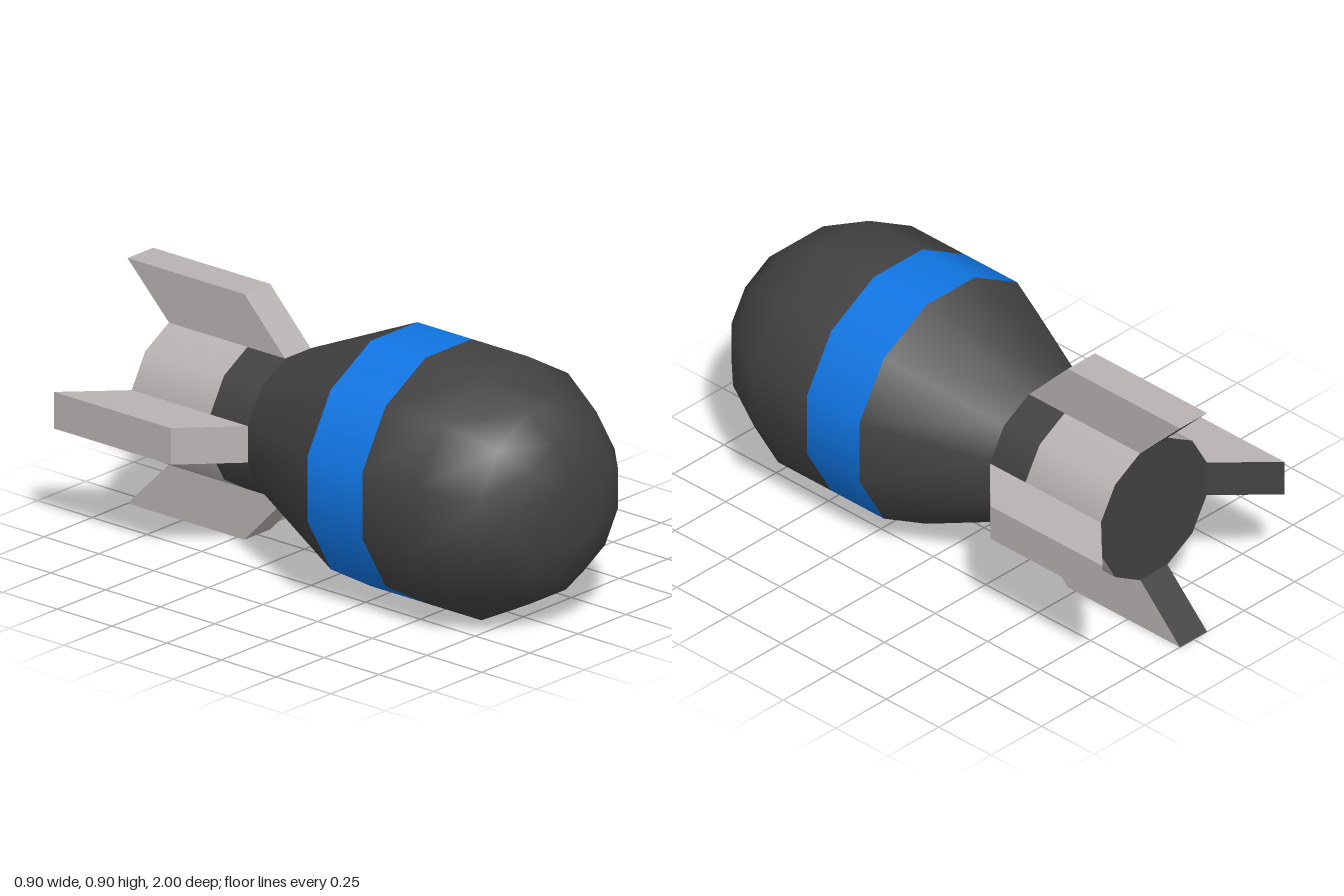
import * as THREE from 'three';

const SIDES = 12;
const STEP = Math.PI / SIDES;
const CORNER = 1 / Math.cos(STEP); // flat-to-flat radius to corner radius

export function createModel() {
  const paint = (name, color) => {
    const m = new THREE.MeshStandardMaterial({ color });
    m.name = name;
    return m;
  };
  const charcoal = paint('charcoal', 0x424242);
  const blue = paint('blue', 0x1076e4);
  const grey = paint('warmGrey', 0xb8b3b2);

  const model = new THREE.Group();
  model.name = 'bomb';
  const axis = new THREE.Group(); // everything is centred on the long axis
  axis.name = 'bombBody';
  axis.position.y = 0.45;
  model.add(axis);

  // Twelve-sided section along z from [flat radius, z] pairs, back to front
  const section = (name, material, profile) => {
    const points = profile.map(([r, z]) => new THREE.Vector2(r * CORNER, z));
    const geometry = new THREE.LatheGeometry(points, SIDES, STEP);
    geometry.rotateX(Math.PI / 2);
    const mesh = new THREE.Mesh(geometry, material);
    mesh.name = name;
    axis.add(mesh);
  };

  section('nose', charcoal, [[0.45, 0.41], [0.45, 0.665], [0.35, 0.86], [0.255, 0.96], [0.12, 1], [0, 1]]);
  section('stripe', blue, [[0.45, 0.16], [0.45, 0.41]]);
  section('taper', charcoal, [[0.26, -0.28], [0.45, 0.16]]);
  section('neck', charcoal, [[0.26, -0.45], [0.26, -0.28]]);
  section('tailTube', grey, [[0.26, -0.81], [0.26, -0.45]]);

  // Flat cap closing the tail
  const cap = new THREE.Mesh(new THREE.CircleGeometry(0.26 * CORNER, SIDES, STEP), charcoal);
  cap.name = 'tailCap';
  cap.rotation.y = Math.PI;
  cap.position.z = -0.81;
  axis.add(cap);

  // Swept fin with a dark trailing face; drawn as (z, radius)
  const thickness = 0.134;
  const outline = new THREE.Shape([[-0.28, 0.26], [-0.465, 0.45], [-1, 0.45], [-0.81, 0.26]]
    .map(([z, r]) => new THREE.Vector2(z, r)));
  const finGeometry = new THREE.ExtrudeGeometry(outline, { depth: thickness, bevelEnabled: false });
  const normals = finGeometry.attributes.normal;
  finGeometry.clearGroups();
  for (let i = 0; i < normals.count; i += 3) {
    finGeometry.addGroup(i, 3, normals.getX(i) < -0.5 ? 1 : 0);
  }
  finGeometry.translate(0, 0, -thickness / 2);
  finGeometry.rotateY(-Math.PI / 2);

  ['top', 'right', 'bottom', 'left'].forEach((side, i) => {
    const fin = new THREE.Mesh(finGeometry, [grey, charcoal]);
    fin.name = side + 'Fin';
    fin.rotation.z = i * Math.PI / 2;
    axis.add(fin);
  });

  return model;
}
